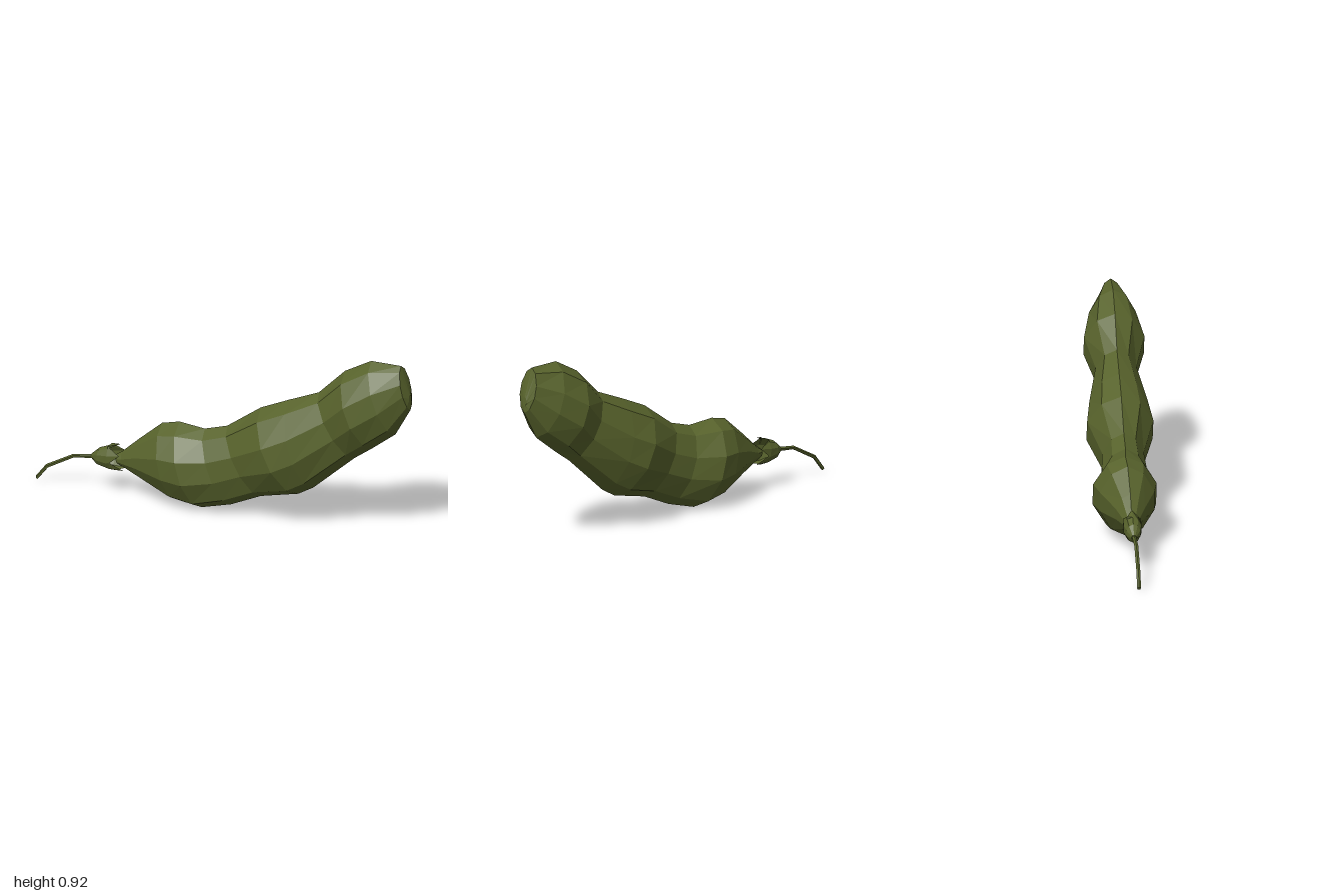
import * as THREE from 'three';

const material = new THREE.MeshStandardMaterial({
  color: 0x58632c, roughness: 1, flatShading: true, side: THREE.DoubleSide,
});

// Skins rings given as [topX, topY, bottomX, bottomY, halfWidth, zOffset].
// "power" above 1 pinches the ring into a lens; "tip" pulls every second
// corner of the last ring forward into points and leaves that end open.
function loft(name, sections, sides, { power = 1, tip = 0 } = {}) {
  const positions = [], index = [];
  const last = sections.length - 1;
  sections.forEach(([tx, ty, bx, by, w, dz = 0], i) => {
    for (let j = 0; j < sides; j++) {
      const a = (j / sides) * Math.PI * 2;
      const c = Math.cos(a), s = Math.sin(a);
      const up = Math.sign(c) * Math.abs(c) ** power;
      const out = Math.sign(s) * Math.abs(s) ** power;
      const pull = i === last && j % 2 ? -tip : 0;
      positions.push(
        (tx + bx) / 2 + ((tx - bx) / 2) * up + pull,
        (ty + by) / 2 + ((ty - by) / 2) * up,
        w * out + dz,
      );
      if (i < last) {
        const p = i * sides + j, q = i * sides + ((j + 1) % sides);
        index.push(p, q, p + sides, q, q + sides, p + sides);
      }
    }
  });
  // End caps as fans around the ring centres
  const cap = (i, flip) => {
    const [tx, ty, bx, by, , dz = 0] = sections[i];
    const centre = positions.length / 3;
    positions.push((tx + bx) / 2, (ty + by) / 2, dz);
    for (let j = 0; j < sides; j++) {
      const p = i * sides + j, q = i * sides + ((j + 1) % sides);
      index.push(centre, flip ? q : p, flip ? p : q);
    }
  };
  cap(0, true);
  if (!tip) cap(last, false);

  const geometry = new THREE.BufferGeometry();
  geometry.setAttribute('position', new THREE.Float32BufferAttribute(positions, 3));
  geometry.setIndex(index);
  geometry.computeVertexNormals();
  const mesh = new THREE.Mesh(geometry, material);
  mesh.name = name;
  return mesh;
}

export function createModel() {
  const group = new THREE.Group();
  group.name = 'beanPod';

  // Curved pod swelling around three beans
  group.add(loft('pod', [
    [-0.57, 0.21, -0.56, 0.16, 0.025],
    [-0.54, 0.23, -0.52, 0.145, 0.035],
    [-0.45, 0.31, -0.42, 0.10, 0.075],
    [-0.33, 0.41, -0.25, 0.025, 0.14, -0.005],
    [-0.24, 0.43, -0.12, 0.005, 0.163, -0.01],
    [-0.10, 0.42, 0.04, 0.05, 0.115],
    [0.02, 0.455, 0.20, 0.12, 0.107],
    [0.20, 0.58, 0.40, 0.165, 0.17],
    [0.35, 0.645, 0.48, 0.21, 0.15],
    [0.51, 0.71, 0.70, 0.40, 0.105],
    [0.65, 0.845, 0.80, 0.47, 0.155],
    [0.79, 0.92, 0.92, 0.56, 0.12],
    [0.95, 0.92, 1.0, 0.70, 0.055],
    [0.997, 0.78, 1.0, 0.735, 0.015],
  ], 10, { power: 1.12 }));

  // Small leafy collar with pointed sepals
  group.add(loft('calyx', [
    [-0.705, 0.19, -0.70, 0.165, 0.012],
    [-0.66, 0.23, -0.67, 0.14, 0.035],
    [-0.61, 0.25, -0.60, 0.125, 0.046],
    [-0.55, 0.265, -0.52, 0.125, 0.045],
  ], 10, { tip: 0.06 }));

  // Thin bent stem
  group.add(loft('stem', [
    [-1.0, 0.028, -0.99, 0.012, 0.01, 0.005],
    [-0.945, 0.097, -0.935, 0.08, 0.01, 0.005],
    [-0.80, 0.174, -0.793, 0.157, 0.01, 0.005],
    [-0.69, 0.19, -0.69, 0.168, 0.01],
  ], 5));

  return group;
}
